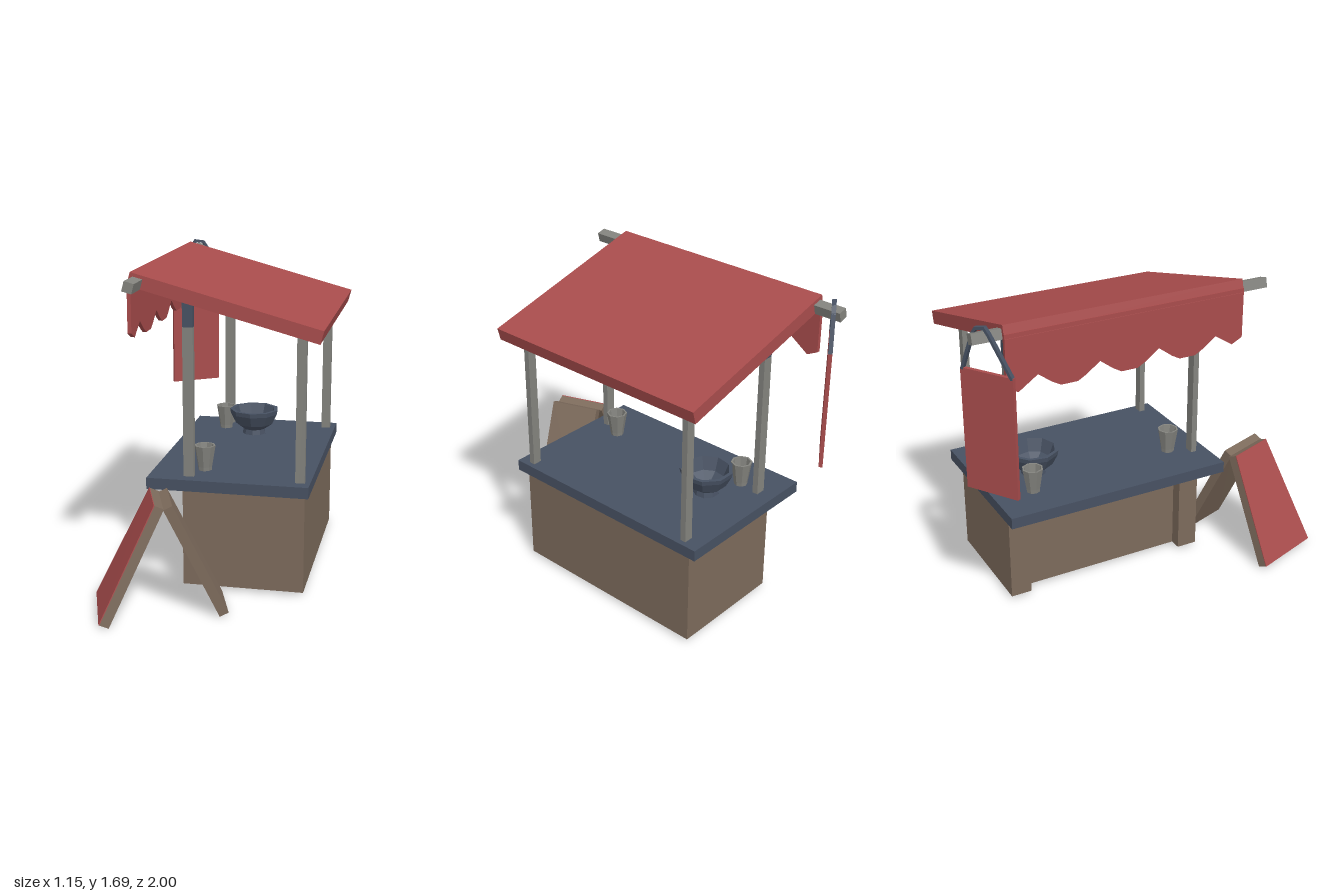
import * as THREE from 'three';
import { ConvexGeometry } from 'three/addons/geometries/ConvexGeometry.js';

const mat = (name, color, side = THREE.FrontSide) =>
  new THREE.MeshStandardMaterial({ name, color, side, flatShading: true });

export function createModel() {
  const red = mat('canopy red', 0xa84c4c);
  const brown = mat('wood brown', 0x7c6a5b, THREE.DoubleSide);
  const grey = mat('post grey', 0x83837e);
  const navy = mat('slate navy', 0x475162);

  const stall = new THREE.Group();
  stall.name = 'marketStall';

  function add(name, geometry, material, parent = stall) {
    const mesh = new THREE.Mesh(geometry, material);
    mesh.name = name;
    parent.add(mesh);
    return mesh;
  }
  // Box given by its minimum and maximum corners
  function box(name, material, [x0, y0, z0], [x1, y1, z1], parent = stall) {
    const mesh = add(name, new THREE.BoxGeometry(x1 - x0, y1 - y0, z1 - z0), material, parent);
    mesh.position.set((x0 + x1) / 2, (y0 + y1) / 2, (z0 + z1) / 2);
    return mesh;
  }

  // Counter base: open-bottomed walls, recessed between two pilasters on the -x side
  const outline = [
    [0.48, 0.4], [0.48, -0.75], [-0.16, -0.75], [-0.16, -0.635],
    [-0.095, -0.635], [-0.095, 0.285], [-0.16, 0.285], [-0.16, 0.4],
  ];
  const wall = [];
  outline.forEach(([x0, z0], i) => {
    const [x1, z1] = outline[(i + 1) % outline.length];
    const lo = 0.02, hi = 0.558;
    wall.push(x0, lo, z0, x1, lo, z1, x1, hi, z1, x0, lo, z0, x1, hi, z1, x0, hi, z0);
  });
  const baseGeometry = new THREE.BufferGeometry();
  baseGeometry.setAttribute('position', new THREE.Float32BufferAttribute(wall, 3));
  baseGeometry.computeVertexNormals();
  add('counterBase', baseGeometry, brown);
  box('counterTop', navy, [-0.34, 0.555, -0.805], [0.505, 0.615, 0.455]);

  // Roof posts; the tall pair has dark upper ends
  for (const z of [0.374, -0.706]) {
    box('shortPost', grey, [0.428, 0.022, z - 0.016], [0.477, 1.382, z + 0.016]);
    box('tallPost', grey, [-0.157, 0.022, z - 0.016], [-0.102, 1.4, z + 0.016]);
    box('tallPostEnd', navy, [-0.157, 1.4, z - 0.016], [-0.102, 1.535, z + 0.016]);
  }

  // Sloping roof slab and the beam along its high edge
  const slope = -Math.PI / 12;
  const roof = add('roof', new THREE.BoxGeometry(1.003, 0.07, 1.31), red);
  roof.position.set(0.078, 1.52, -0.175);
  roof.rotation.z = slope;
  const beam = add('roofBeam', new THREE.BoxGeometry(0.052, 0.052, 1.615), grey);
  beam.position.set(-0.365, 1.63, -0.1725);
  beam.rotation.z = slope;

  // Scalloped valance, drawn with shape x = -z
  const valanceShape = new THREE.Shape();
  valanceShape.moveTo(-0.48, 1.64);
  valanceShape.lineTo(-0.48, 1.375);
  valanceShape.lineTo(-0.42, 1.345);
  for (const c of [-0.155, 0.175, 0.503]) {
    valanceShape.lineTo(c - 0.165, 1.41);
    for (const [dx, y] of [[-0.09, 1.355], [-0.045, 1.33], [0.045, 1.33], [0.09, 1.355]]) {
      valanceShape.lineTo(c + dx, y);
    }
  }
  valanceShape.lineTo(0.668, 1.41);
  valanceShape.lineTo(0.77, 1.34);
  valanceShape.lineTo(0.83, 1.37);
  valanceShape.lineTo(0.83, 1.64);
  const valance = add('valance',
    new THREE.ExtrudeGeometry(valanceShape, { depth: 0.02, bevelEnabled: false }), red);
  valance.position.x = -0.415;
  valance.rotation.y = Math.PI / 2;

  // Banner hung from the beam by a strap
  const banner = new THREE.Group();
  banner.name = 'hangingBanner';
  banner.position.set(-0.386, 0, -0.91);
  banner.rotation.y = 0.58;
  stall.add(banner);
  box('bannerCloth', red, [-0.147, 0.82, -0.01], [0.147, 1.46, 0.01], banner);
  const strap = [[-0.138, 1.455], [-0.02, 1.65], [0.002, 1.68], [0.05, 1.672], [0.072, 1.64], [0.138, 1.455]];
  for (let i = 0; i < strap.length - 1; i++) {
    const [x0, y0] = strap[i], [x1, y1] = strap[i + 1];
    const piece = add('bannerStrap',
      new THREE.BoxGeometry(Math.hypot(x1 - x0, y1 - y0) + 0.008, 0.015, 0.022), navy, banner);
    piece.position.set((x0 + x1) / 2, (y0 + y1) / 2, 0);
    piece.rotation.z = Math.atan2(y1 - y0, x1 - x0);
  }

  // Folding sign: each leaf is a four-cornered face given thickness by an offset
  function leaf(name, material, corners, offset) {
    const outer = corners.map((c) => new THREE.Vector3(...c));
    const shift = new THREE.Vector3(...offset);
    add(name, new ConvexGeometry([...outer, ...outer.map((p) => p.clone().add(shift))]), material);
  }
  const leftLeaf = [[-0.29, 0.6, 0.565], [-0.195, 0.6, 0.83], [-0.44, 0.022, 0.995], [-0.572, 0.022, 0.61]];
  const rightLeaf = [[-0.205, 0.6, 0.55], [-0.11, 0.6, 0.815], [0.15, 0.022, 0.72], [0.062, 0.022, 0.46]];
  leaf('signLeftLeaf', brown, leftLeaf, [0.043, -0.02, -0.015]);
  leaf('signRightLeaf', brown, rightLeaf, [-0.043, -0.02, 0.015]);
  leaf('signPaintedFace', red, leftLeaf, [-0.004, 0.002, 0.001]);

  // Faceted bowl and cups
  const lathe = (points, sides) =>
    new THREE.LatheGeometry(points.map(([r, y]) => new THREE.Vector2(r, y)), sides);
  const bowl = add('bowl', lathe([
    [0, 0], [0.068, 0], [0.062, 0.028], [0.108, 0.06], [0.138, 0.12],
    [0.142, 0.145], [0.122, 0.145], [0.095, 0.075], [0.05, 0.04], [0, 0.04],
  ], 9), navy);
  bowl.position.set(0.055, 0.615, -0.505);
  const cupGeometry = lathe([
    [0, 0], [0.036, 0], [0.038, 0.02], [0.057, 0.135], [0.047, 0.135], [0.03, 0.02], [0, 0.02],
  ], 8);
  for (const [x, z] of [[-0.072, 0.255], [-0.13, -0.59]]) {
    add('cup', cupGeometry, grey).position.set(x, 0.615, z);
  }

  return stall;
}
